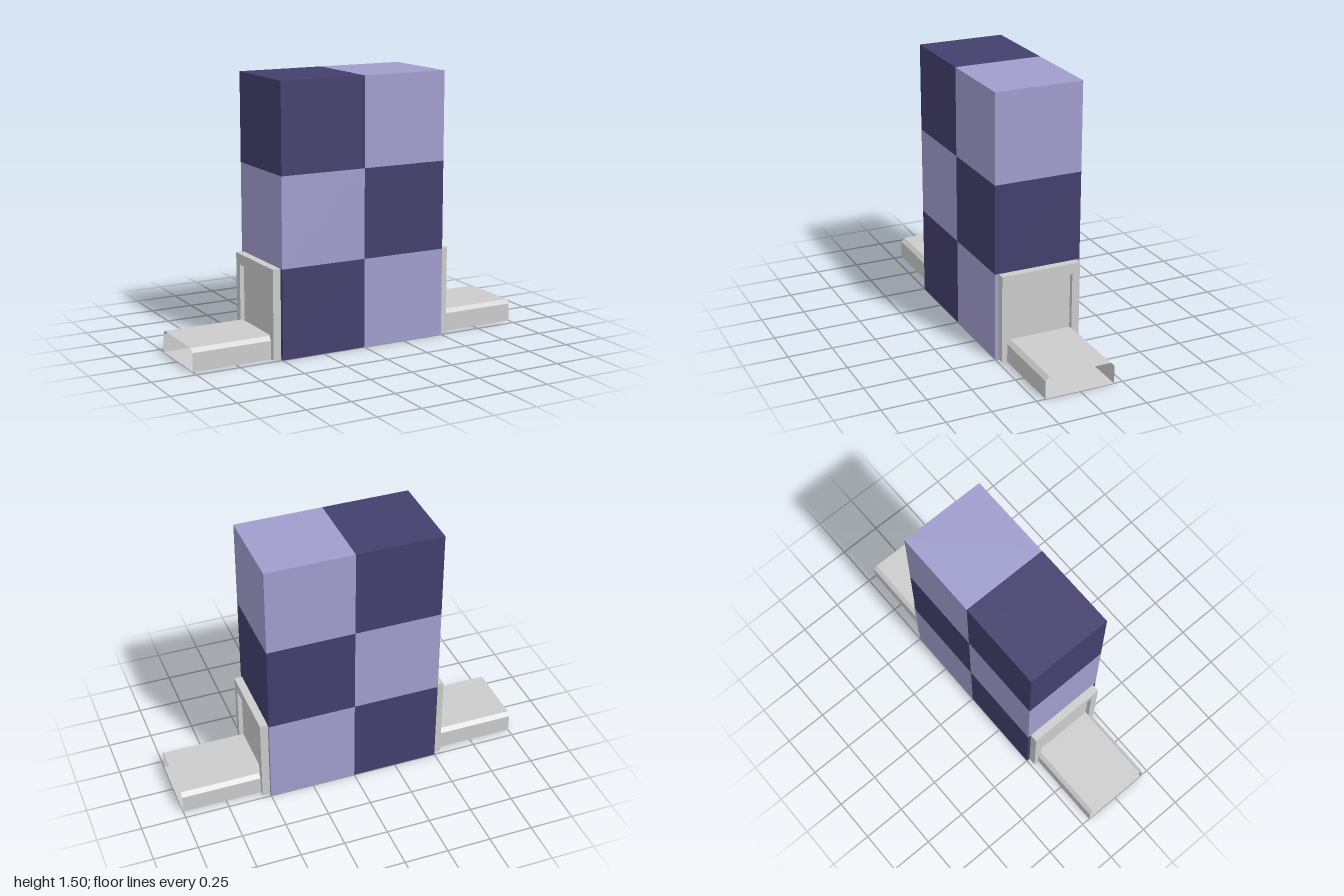
import * as THREE from 'three';

const grey = new THREE.MeshStandardMaterial({ color: 0xcccccc, flatShading: true, side: THREE.DoubleSide });
const dark = new THREE.MeshStandardMaterial({ color: 0x433f6d, flatShading: true });
const light = new THREE.MeshStandardMaterial({ color: 0xa09dcd, flatShading: true });

const BODY = 0.5;    // half width of the checkered body
const FRAME = 0.545; // outer face of the side frames
const RECESS = 0.52; // face of the panel inside each frame

function add(parent, name, geometry, material) {
  const mesh = new THREE.Mesh(geometry, material);
  mesh.name = name;
  parent.add(mesh);
  return mesh;
}

// Open-ended tube along x, from a closed (z, y) profile
function openTube(profile, x0, x1) {
  const pos = [];
  profile.forEach(([z, y], i) => {
    const [zn, yn] = profile[(i + 1) % profile.length];
    pos.push(x0, y, z, x0, yn, zn, x1, yn, zn);
    pos.push(x0, y, z, x1, yn, zn, x1, y, z);
  });
  const geometry = new THREE.BufferGeometry();
  geometry.setAttribute('position', new THREE.Float32BufferAttribute(pos, 3));
  geometry.computeVertexNormals();
  return geometry;
}

// Rectangular path in (z, y), used for the frame and its opening
function rect(path, z, y0, y1) {
  path.moveTo(-z, y0);
  path.lineTo(z, y0);
  path.lineTo(z, y1);
  path.lineTo(-z, y1);
  path.closePath();
  return path;
}

// Side port on +x: frame with a recessed panel and a hollow arm
function sidePort() {
  const port = new THREE.Group();

  const outline = rect(new THREE.Shape(), 0.23, 0, 0.5);
  outline.holes.push(rect(new THREE.Path(), 0.185, 0.115, 0.44));
  const frameGeo = new THREE.ExtrudeGeometry(outline, { depth: FRAME - BODY, bevelEnabled: false });
  frameGeo.rotateY(Math.PI / 2).translate(BODY, 0, 0);
  add(port, 'frame', frameGeo, grey);

  const panel = new THREE.BoxGeometry(RECESS - BODY, 0.325, 0.37);
  panel.translate((RECESS + BODY) / 2, 0.2775, 0);
  add(port, 'recessedPanel', panel, grey);

  // Arm with chamfered top edges, open at both ends
  const profile = [[-0.2, 0], [-0.2, 0.103], [-0.178, 0.125], [0.178, 0.125], [0.2, 0.103], [0.2, 0]];
  add(port, 'arm', openTube(profile, FRAME, 1), grey);
  return port;
}

export function createModel() {
  const model = new THREE.Group();
  model.name = 'checkeredBlockWithArms';

  // Checkered body: two columns of three cubes
  const body = new THREE.Group();
  body.name = 'body';
  for (let row = 0; row < 3; row++) {
    for (let col = 0; col < 2; col++) {
      const cube = add(body, 'cube', new THREE.BoxGeometry(0.5, 0.5, 0.5), (row + col) % 2 ? light : dark);
      cube.position.set(col * 0.5 - 0.25, row * 0.5 + 0.25, 0);
    }
  }
  model.add(body);

  // Matching ports on both sides
  const left = sidePort();
  left.name = 'leftPort';
  const right = sidePort();
  right.name = 'rightPort';
  right.rotation.y = Math.PI;
  model.add(left, right);

  return model;
}
